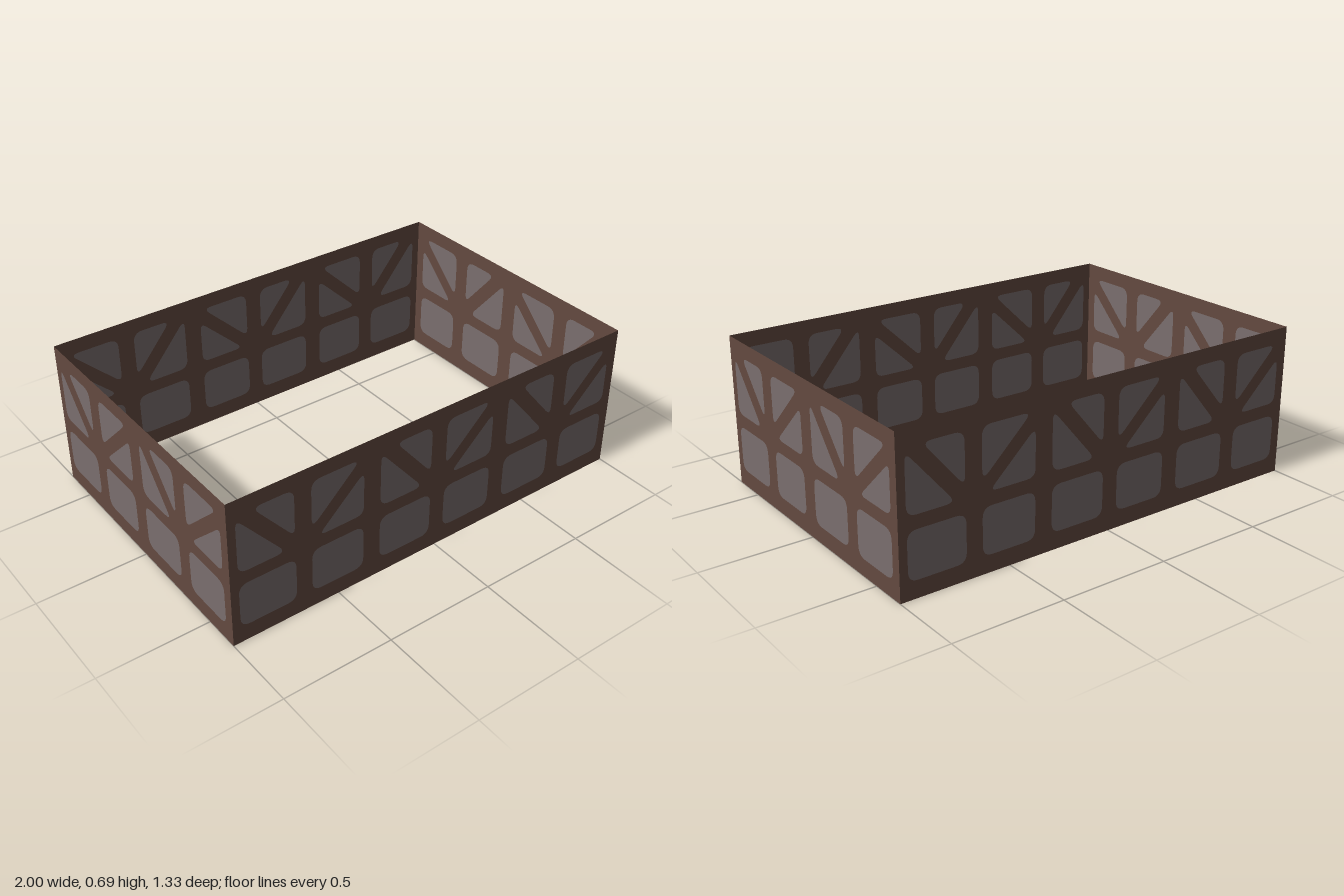
import * as THREE from 'three';

const HEIGHT = 0.685, BAY = 2 / 3;

// Openings of one bay: corner points [u, y] and the corner radius
const BAY_PANELS = [
  { name: 'lowerLeftPanel', r: 0.045, pts: [[0.037, 0.076], [0.298, 0.076], [0.298, 0.283], [0.037, 0.283]] },
  { name: 'lowerRightPanel', r: 0.045, pts: [[0.372, 0.076], [0.622, 0.076], [0.622, 0.283], [0.372, 0.283]] },
  { name: 'outerLeftTriangle', r: 0.045, pts: [[0.037, 0.342], [0.253, 0.342], [0.037, 0.598]] },
  { name: 'innerLeftTriangle', r: 0.045, pts: [[0.295, 0.396], [0.295, 0.616], [0.11, 0.616]] },
  { name: 'innerRightTriangle', r: 0.045, pts: [[0.372, 0.394], [0.603, 0.616], [0.372, 0.616]] },
  { name: 'outerRightTriangle', r: 0.04, pts: [[0.403, 0.342], [0.622, 0.342], [0.622, 0.549]] },
];

// Polygon with softened corners, shifted sideways by dx
function roundedPolygon(pts, r, dx) {
  const shape = new THREE.Shape();
  const v = pts.map(([x, y]) => new THREE.Vector2(x + dx, y));
  const n = v.length;
  v.forEach((p, i) => {
    const a = v[(i + n - 1) % n], b = v[(i + 1) % n];
    const start = p.clone().add(a.clone().sub(p).setLength(r));
    const end = p.clone().add(b.clone().sub(p).setLength(r));
    if (i === 0) shape.moveTo(start.x, start.y);
    else shape.lineTo(start.x, start.y);
    shape.quadraticCurveTo(p.x, p.y, end.x, end.y);
  });
  shape.closePath();
  return shape;
}

// A flat wall of several bays: a pierced frame with panels filling the openings
function createWall(name, bays, frameMaterial, panelMaterial) {
  const wall = new THREE.Group();
  wall.name = name;
  const half = (bays * BAY) / 2;
  const outline = new THREE.Shape();
  outline.moveTo(-half, 0);
  outline.lineTo(half, 0);
  outline.lineTo(half, HEIGHT);
  outline.lineTo(-half, HEIGHT);
  outline.closePath();

  for (let i = 0; i < bays; i++) {
    for (const { name: panelName, r, pts } of BAY_PANELS) {
      const shape = roundedPolygon(pts, r, i * BAY - half);
      outline.holes.push(shape);
      const panel = new THREE.Mesh(new THREE.ShapeGeometry(shape, 6), panelMaterial);
      panel.name = panelName;
      wall.add(panel);
    }
  }
  const frame = new THREE.Mesh(new THREE.ShapeGeometry(outline, 6), frameMaterial);
  frame.name = 'timberFrame';
  wall.add(frame);
  return wall;
}

export function createModel() {
  const model = new THREE.Group();
  model.name = 'timberFramedWalls';

  const timber = new THREE.MeshStandardMaterial({ color: 0x644a40, side: THREE.DoubleSide });
  timber.name = 'brownTimber';
  const plaster = new THREE.MeshStandardMaterial({ color: 0x7a6e6e, side: THREE.DoubleSide });
  plaster.name = 'greyPlaster';

  // Four walls around an open rectangle, each facing outwards
  const walls = [
    ['frontWall', 3, 0, BAY],
    ['leftWall', 2, Math.PI / 2, 1],
    ['backWall', 3, Math.PI, BAY],
    ['rightWall', 2, -Math.PI / 2, 1],
  ];
  for (const [name, bays, angle, distance] of walls) {
    const wall = createWall(name, bays, timber, plaster);
    wall.rotation.y = angle;
    wall.position.set(Math.sin(angle) * distance, 0, Math.cos(angle) * distance);
    model.add(wall);
  }
  return model;
}
